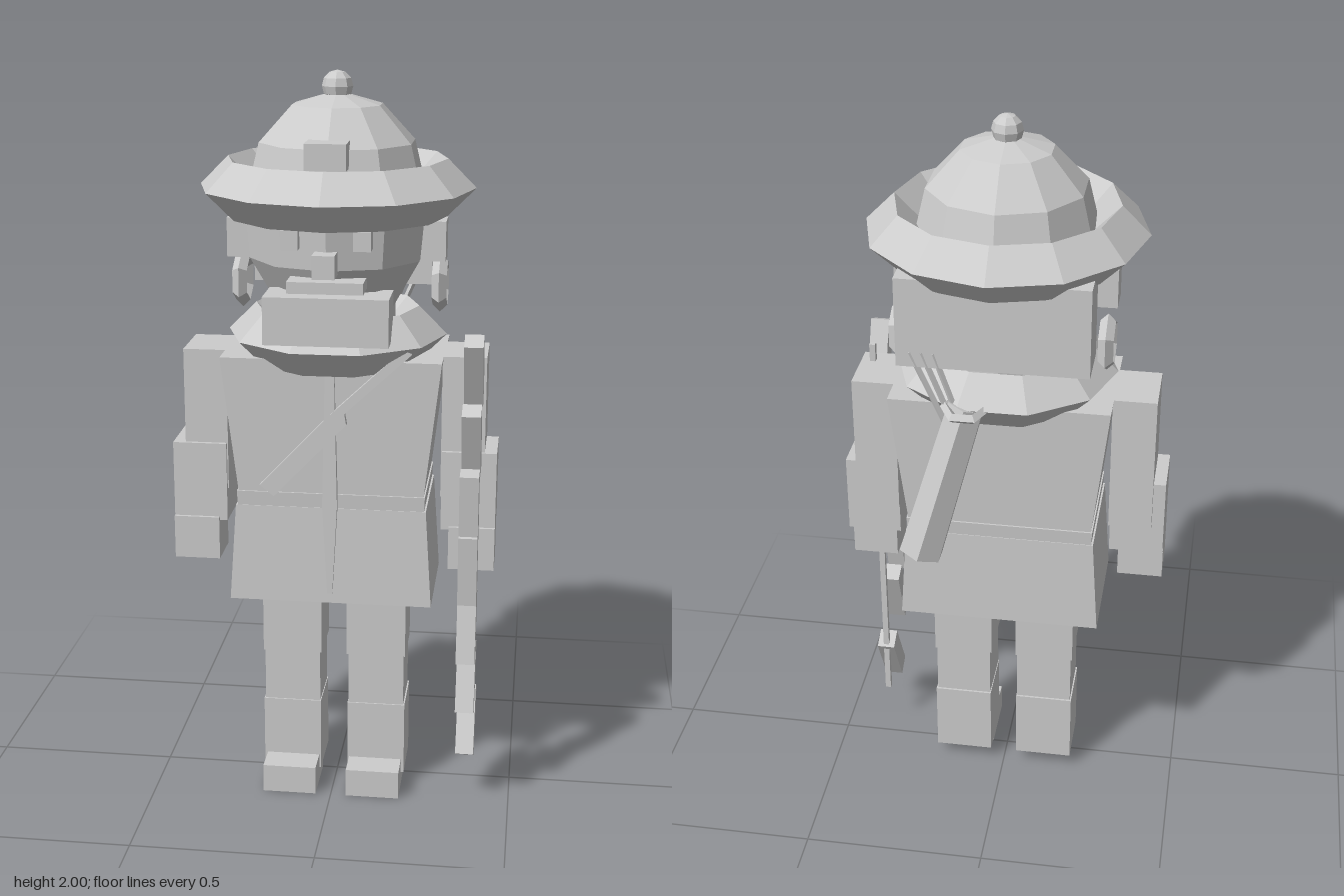
import * as THREE from 'three';

const grey = new THREE.MeshStandardMaterial({ color: 0xcccccc, flatShading: true });
grey.name = 'plainGrey';

export function createModel() {
  const model = new THREE.Group();
  model.name = 'figure';

  function add(name, geometry, x = 0, y = 0, z = 0, parent = model) {
    const mesh = new THREE.Mesh(geometry, grey);
    mesh.name = name;
    mesh.position.set(x, y, z);
    parent.add(mesh);
    return mesh;
  }
  // box given by its limits on each axis
  function box(name, x0, x1, y0, y1, z0, z1) {
    return add(name, new THREE.BoxGeometry(x1 - x0, y1 - y0, z1 - z0),
      (x0 + x1) / 2, (y0 + y1) / 2, (z0 + z1) / 2);
  }
  // box with different half sizes at the bottom and the top
  function taperedBox(name, y0, y1, bottom, top) {
    const g = new THREE.BoxGeometry(2, y1 - y0, 2);
    const p = g.attributes.position;
    for (let i = 0; i < p.count; i++) {
      const [hx, hz] = p.getY(i) > 0 ? top : bottom;
      p.setX(i, p.getX(i) * hx);
      p.setZ(i, p.getZ(i) * hz);
    }
    return add(name, g, 0, (y0 + y1) / 2, 0);
  }
  // thin plate with an outline in x and y
  function plate(name, points, z, depth) {
    const shape = new THREE.Shape(points.map(([x, y]) => new THREE.Vector2(x, y)));
    return add(name, new THREE.ExtrudeGeometry(shape, { depth, bevelEnabled: false }), 0, 0, z);
  }
  // cylinder between two points
  function rod(name, a, b, rTop, rBottom, sides) {
    const from = new THREE.Vector3(...a), to = new THREE.Vector3(...b);
    const dir = to.clone().sub(from);
    const mesh = add(name, new THREE.CylinderGeometry(rTop, rBottom, dir.length(), sides));
    mesh.position.copy(from).add(to).multiplyScalar(0.5);
    mesh.quaternion.setFromUnitVectors(new THREE.Vector3(0, 1, 0), dir.normalize());
    return mesh;
  }

  // legs, arms, ears and earrings on both sides
  for (const s of [-1, 1]) {
    const side = s > 0 ? 'left' : 'right';
    const pair = (name, a, b, ...rest) =>
      box(side + name, Math.min(s * a, s * b), Math.max(s * a, s * b), ...rest);
    pair('Thigh', 0.035, 0.2, 0.4, 0.65, -0.08, 0.08);
    pair('Shin', 0.04, 0.196, 0.25, 0.4, -0.076, 0.076);
    pair('Boot', 0.038, 0.2, 0.04, 0.25, -0.082, 0.08);
    pair('Shoe', 0.043, 0.192, 0, 0.08, 0, 0.162);
    pair('UpperArm', 0.29, 0.407, 0.88, 1.27, -0.085, 0.085);
    pair('Forearm', 0.293, 0.44, 0.79, 1.01, -0.065, 0.096);
    pair('Hand', 0.315, 0.44, 0.68, 0.8, -0.02, 0.105);
    pair('Ear', 0.22, 0.29, 1.515, 1.62, -0.042, 0.042);
    pair('Eye', 0.07, 0.115, 1.575, 1.625, 0.2, 0.25);
    const ring = add(side + 'Earring', new THREE.TorusGeometry(0.06, 0.02, 4, 6), s * 0.27, 1.435, -0.075);
    ring.rotation.set(0, Math.PI / 2, Math.PI / 6, 'YXZ');
  }

  // coat
  taperedBox('coatSkirt', 0.59, 0.86, [0.275, 0.168], [0.257, 0.16]);
  taperedBox('belt', 0.86, 0.9, [0.252, 0.158], [0.254, 0.16]);
  taperedBox('coatTorso', 0.9, 1.27, [0.25, 0.155], [0.293, 0.165]);
  plate('coatSeam', [[-0.007, 0.62], [0.007, 0.62], [0.02, 0.87], [0.012, 1.25], [-0.012, 1.25], [-0.02, 0.87]], 0.155, 0.02);
  plate('chestStrap', [[-0.188, 0.925], [-0.15, 0.895], [0.045, 1.1], [0.04, 1.13], [0.215, 1.295],
    [0.195, 1.31], [0.0, 1.125]], 0.16, 0.02);

  // collar
  const collar = add('collar', new THREE.TorusGeometry(0.22, 0.075, 4, 10), 0, 1.312, 0);
  collar.rotation.x = Math.PI / 2;
  collar.scale.y = 0.96;
  add('neck', new THREE.CylinderGeometry(0.16, 0.16, 0.2, 10), 0, 1.33, 0);

  // head and face
  const headProfile = [[0, 1.38], [0.16, 1.39], [0.235, 1.52], [0.245, 1.63], [0.2, 1.75], [0, 1.78]]
    .map(([r, y]) => new THREE.Vector2(r, y));
  add('head', new THREE.LatheGeometry(headProfile, 10));
  box('nose', -0.03, 0.028, 1.51, 1.57, 0.2, 0.29);
  box('moustache', -0.098, 0.098, 1.468, 1.498, 0.18, 0.268);
  box('beard', -0.162, 0.162, 1.33, 1.455, 0.13, 0.258);
  box('hair', -0.245, 0.245, 1.42, 1.66, -0.255, -0.12);

  // hat
  const brim = add('hatBrim', new THREE.TorusGeometry(0.29, 0.075, 4, 12), 0, 1.703, 0);
  brim.rotation.x = Math.PI / 2;
  const dome = add('hatDome', new THREE.SphereGeometry(0.24, 10, 3, 0, Math.PI * 2, 0, Math.PI / 2), 0, 1.69, 0);
  dome.scale.y = 1.08;
  dome.rotation.y = Math.PI / 10;
  add('hatKnob', new THREE.SphereGeometry(0.041, 8, 6), 0, 1.96, 0);
  box('hatBadge', -0.053, 0.053, 1.775, 1.842, 0.17, 0.256);

  // quiver with its rim and arrows
  rod('quiver', [0.19, 0.88, -0.28], [0.07, 1.31, -0.23], 0.052, 0.062, 6);
  const rim = add('quiverRim', new THREE.TorusGeometry(0.052, 0.014, 4, 6), 0.07, 1.31, -0.25);
  rim.rotation.x = Math.PI / 2 - 0.15;
  for (let i = 0; i < 3; i++) {
    rod('arrow', [0.08 + i * 0.02, 1.25, -0.245], [0.15 + i * 0.03, 1.46, -0.25], 0.008, 0.008, 4);
  }

  // staff in the left hand and the curve of segments in front of it
  box('staff', 0.367, 0.383, 0.14, 1.32, 0.034, 0.05);
  const segments = [ // y, z, tilt
    [1.245, 0.125, 0.42], [1.07, 0.178, 0.36], [0.905, 0.235, 0.1], [0.735, 0.232, 0.08],
    [0.563, 0.222, -0.2], [0.4, 0.183, -0.36], [0.228, 0.098, -0.5],
  ];
  for (const [y, z, tilt] of segments) {
    add('curveSegment', new THREE.BoxGeometry(0.05, 0.195, 0.056), 0.375, y, z).rotation.x = tilt;
  }

  return model;
}
